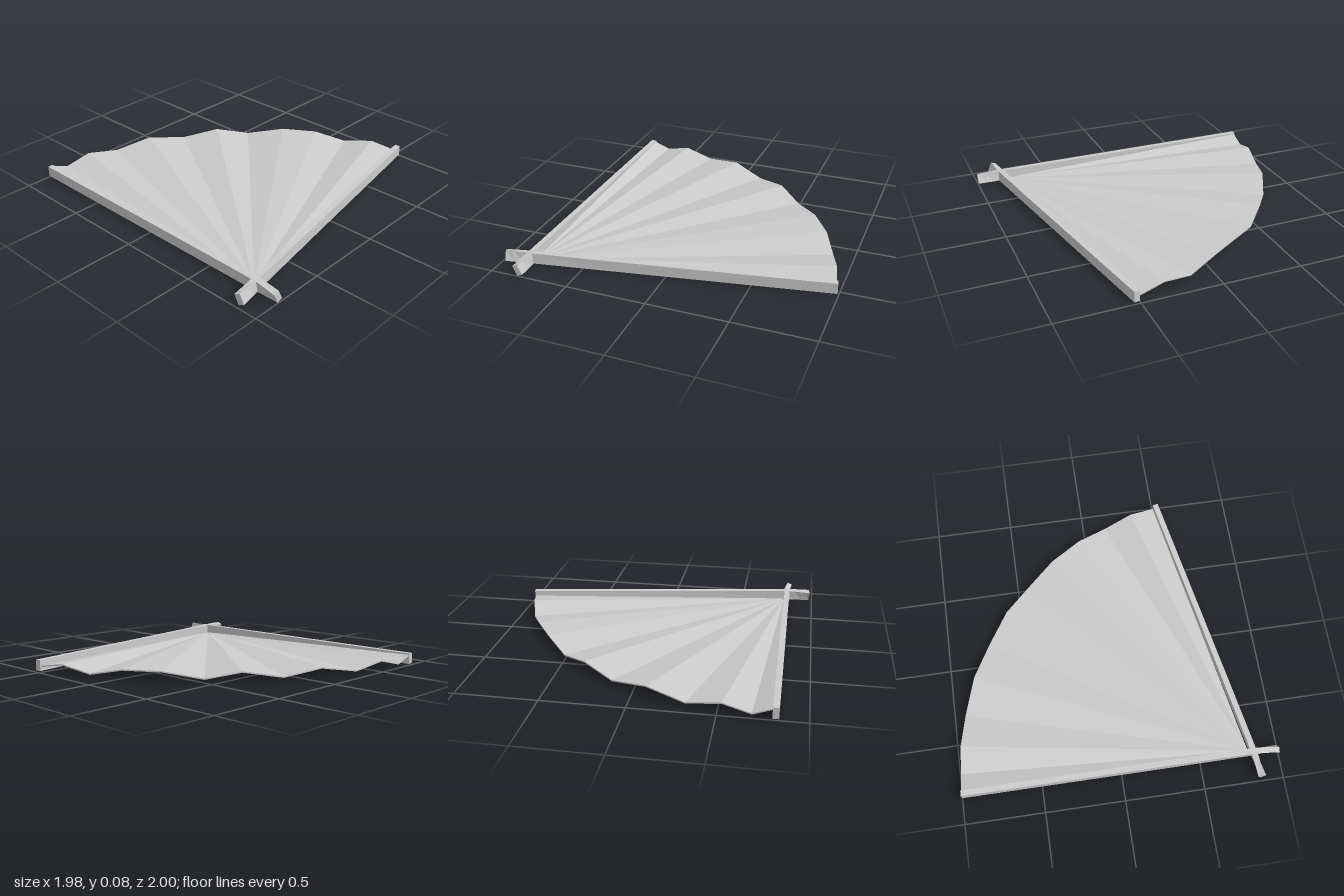
import * as THREE from 'three';

const material = new THREE.MeshStandardMaterial({ color: 0xcccccc, flatShading: true, side: THREE.DoubleSide });

// Builds a flat-shaded mesh from points and quads/triangles given by corner index
function facetMesh(name, points, faces) {
  const pos = [];
  for (const f of faces) {
    for (let i = 1; i < f.length - 1; i++) {
      for (const k of [f[0], f[i], f[i + 1]]) pos.push(...points[k]);
    }
  }
  const geo = new THREE.BufferGeometry();
  geo.setAttribute('position', new THREE.Float32BufferAttribute(pos, 3));
  geo.computeVertexNormals();
  const mesh = new THREE.Mesh(geo, material);
  mesh.name = name;
  return mesh;
}

// Guard stick: rectangular section swept along z, its short handle twisting past the pivot
function guardStick(name) {
  const w = 0.018, h = 0.034;
  // z, sideways offset, centre height, twist in degrees
  const stations = [
    [-1.838, 0, 0.043, 0],
    [-0.6, 0, 0.043, 0],
    [0, 0, 0.043, 3],
    [0.05, 0.001, 0.042, 9],
    [0.105, 0, 0.041, 17],
    [0.16, -0.002, 0.039, 24],
  ];
  const points = [], faces = [];
  stations.forEach(([z, x, y, deg], s) => {
    const c = Math.cos(deg * Math.PI / 180), n = Math.sin(deg * Math.PI / 180);
    for (const [a, b] of [[-w, -h], [w, -h], [w, h], [-w, h]]) {
      points.push([x + a * c - b * n, y + a * n + b * c, z]);
    }
    if (s === 0) return;
    for (let k = 0; k < 4; k++) {
      const p = (s - 1) * 4 + k, q = (s - 1) * 4 + (k + 1) % 4;
      faces.push([p, q, q + 4, p + 4]);
    }
  });
  const e = points.length - 4;
  faces.push([3, 2, 1, 0], [e, e + 1, e + 2, e + 3]);
  return facetMesh(name, points, faces);
}

// Pleated leaf: thin wedges from the apex to a zigzag rim
function pleatedLeaf() {
  const radius = 1.806, thick = 0.008, hi = 0.068, lo = 0.028;
  // angle from the first guard, height of the fold at the rim
  const folds = [
    [0, hi], [3.5, lo], [8.8, hi], [15.5, lo], [23.4, hi], [31.3, lo], [39.1, hi],
    [46.2, lo], [54.2, hi], [61.7, hi], [68.5, lo], [74.8, hi], [80.1, 0.042],
  ];
  const points = [[0, 0.02, 0], [0, 0.02 - thick, 0]], faces = [];
  folds.forEach(([deg, y], i) => {
    const a = deg * Math.PI / 180;
    const x = radius * Math.sin(a), z = -radius * Math.cos(a);
    points.push([x, y, z], [x, y - thick, z]);
    if (i === 0) return;
    const t = 2 * i;
    faces.push([0, t + 2, t], [1, t + 1, t + 3], [t, t + 2, t + 3, t + 1]);
  });
  const e = points.length - 2;
  faces.push([0, 2, 3, 1], [0, 1, e + 1, e]);
  return facetMesh('pleatedLeaf', points, faces);
}

export function createModel() {
  const fan = new THREE.Group();
  fan.name = 'foldingFan';

  // Two identical guards crossing at the pivot
  [['backGuard', 0], ['frontGuard', -80]].forEach(([name, deg]) => {
    const guard = guardStick(name);
    guard.position.set(-0.82, 0, 0.838);
    guard.rotation.y = deg * Math.PI / 180;
    fan.add(guard);
  });

  const leaf = pleatedLeaf();
  leaf.position.set(-0.802, 0, 0.81);
  fan.add(leaf);
  return fan;
}
